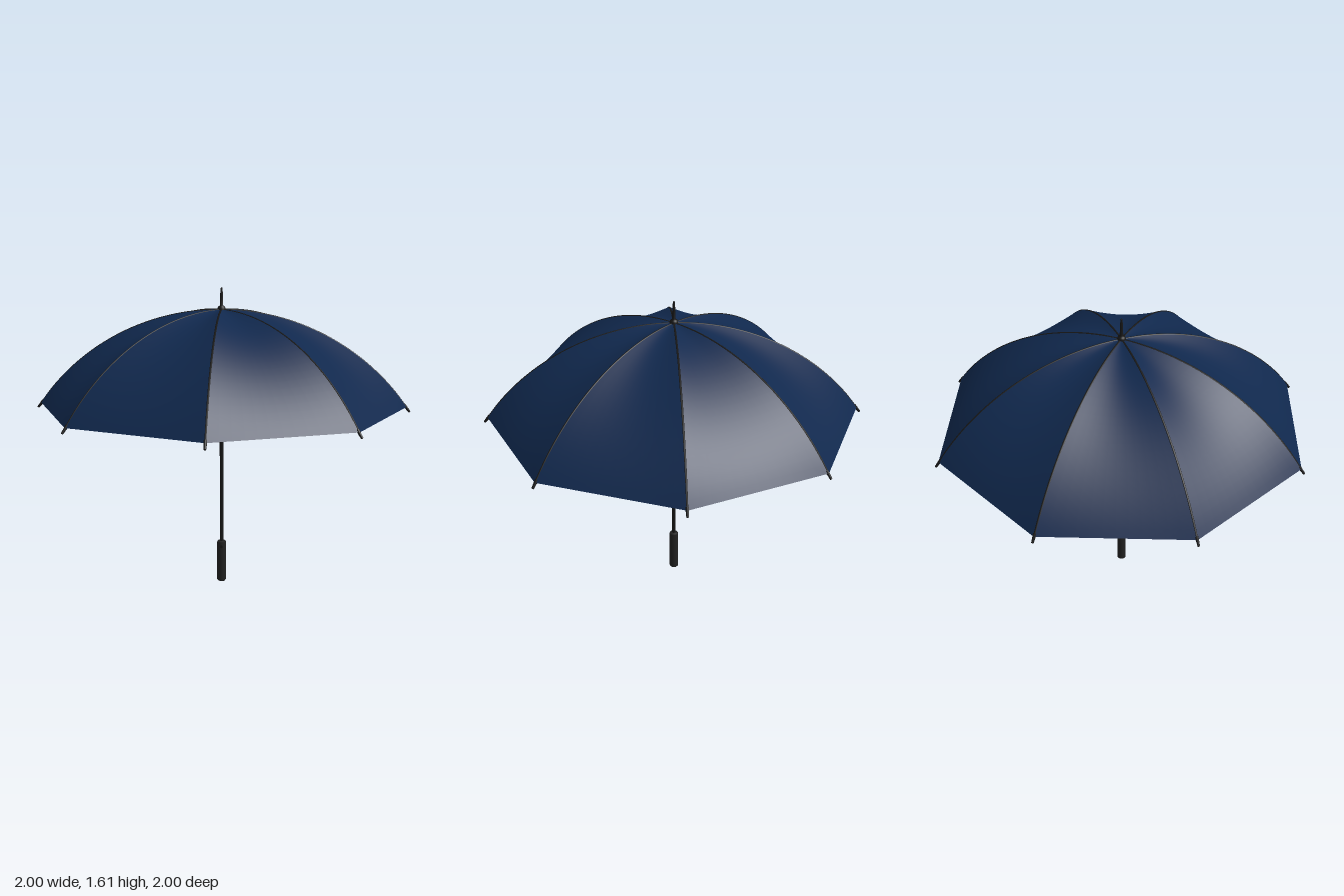
import * as THREE from 'three';

const PANELS = 8;
const RIM = 0.98, APEX_Y = 1.495, RIM_Y = 0.987;
// Circular arc of the dome running from apex to rim
const RISE = APEX_Y - RIM_Y;
const ARC_R = (RIM * RIM + RISE * RISE) / (2 * RISE);
const ARC_END = Math.asin(RIM / ARC_R);

function domePoint(u, drop = 0) {
  const a = u * ARC_END, R = ARC_R - drop;
  return new THREE.Vector2(R * Math.sin(a), APEX_Y - ARC_R + R * Math.cos(a));
}

// One cloth panel: straight hem, slight sag between its two ribs
function panelGeometry(start) {
  const NU = 24, NT = 12, pos = [], index = [];
  const end = start + (Math.PI * 2) / PANELS;
  for (let i = 0; i <= NU; i++) {
    const u = i / NU, p = domePoint(u);
    for (let j = 0; j <= NT; j++) {
      const t = j / NT;
      const sag = 0.028 * 4 * u * (1 - u) * Math.sin(Math.PI * t);
      pos.push(
        p.x * THREE.MathUtils.lerp(Math.cos(start), Math.cos(end), t),
        p.y - sag,
        p.x * THREE.MathUtils.lerp(Math.sin(start), Math.sin(end), t)
      );
      if (i < NU && j < NT) {
        const a = i * (NT + 1) + j, b = a + 1, c = a + NT + 1, d = c + 1;
        if (i > 0) index.push(a, b, c);
        index.push(b, d, c);
      }
    }
  }
  const g = new THREE.BufferGeometry();
  g.setAttribute('position', new THREE.Float32BufferAttribute(pos, 3));
  g.setIndex(index);
  g.computeVertexNormals();
  return g;
}

// Tapered round bar between two points
function bar(from, to, r0, r1, material, name) {
  const dir = to.clone().sub(from);
  const mesh = new THREE.Mesh(new THREE.CylinderGeometry(r1, r0, dir.length(), 10), material);
  mesh.position.copy(from).addScaledVector(dir, 0.5);
  mesh.quaternion.setFromUnitVectors(new THREE.Vector3(0, 1, 0), dir.normalize());
  mesh.name = name;
  return mesh;
}

function lathe(points, material, name) {
  const mesh = new THREE.Mesh(
    new THREE.LatheGeometry(points.map(([x, y]) => new THREE.Vector2(x, y)), 24), material);
  mesh.name = name;
  return mesh;
}

export function createModel() {
  const cloth = new THREE.MeshStandardMaterial({ color: 0x10284d, side: THREE.DoubleSide });
  cloth.name = 'navy cloth';
  const metal = new THREE.MeshStandardMaterial({ color: 0x161616 });
  metal.name = 'black metal';
  const grip = new THREE.MeshStandardMaterial({ color: 0x212121 });
  grip.name = 'dark grip';

  const model = new THREE.Group();
  model.name = 'umbrella';
  const canopy = new THREE.Group();
  canopy.name = 'canopy';
  const frame = new THREE.Group();
  frame.name = 'frame';
  model.add(canopy, frame);

  // Rib curve just under the cloth, showing as a fine seam on top
  const ribPoints = [];
  for (let i = 0; i <= 10; i++) {
    const p = domePoint(i / 10, 0.0045);
    ribPoints.push(new THREE.Vector3(p.x, p.y, 0));
  }
  const ribGeometry = new THREE.TubeGeometry(new THREE.CatmullRomCurve3(ribPoints), 32, 0.006, 8);
  const joint = domePoint(0.42, 0.01);

  for (let k = 0; k < PANELS; k++) {
    const angle = (k * Math.PI * 2) / PANELS;
    const panel = new THREE.Mesh(panelGeometry(angle), cloth);
    panel.name = 'panel';
    canopy.add(panel);

    // Rib, tip and stretcher arm
    const spoke = new THREE.Group();
    spoke.name = 'spoke';
    spoke.rotation.y = -angle;
    const rib = new THREE.Mesh(ribGeometry, metal);
    rib.name = 'rib';
    spoke.add(rib);
    spoke.add(bar(new THREE.Vector3(0.966, 0.997, 0), new THREE.Vector3(0.996, 0.961, 0),
      0.009, 0.006, metal, 'ribTip'));
    spoke.add(bar(new THREE.Vector3(0.015, 1.19, 0), new THREE.Vector3(joint.x, joint.y, 0),
      0.005, 0.005, metal, 'stretcher'));
    frame.add(spoke);
  }

  // Central shaft, sliding runner and top hub
  frame.add(bar(new THREE.Vector3(0, 0.2, 0), new THREE.Vector3(0, 1.5, 0), 0.01, 0.01, metal, 'shaft'));
  frame.add(lathe([[0.01, 1.13], [0.017, 1.13], [0.017, 1.175], [0.024, 1.175],
    [0.024, 1.2], [0.01, 1.2]], metal, 'runner'));
  frame.add(lathe([[0.01, 1.44], [0.022, 1.44], [0.022, 1.475], [0.01, 1.48]], metal, 'hub'));

  // Cap and spike above the canopy
  frame.add(lathe([[0.022, 1.488], [0.022, 1.498], [0.018, 1.508], [0.009, 1.514],
    [0.008, 1.56], [0.005, 1.605], [0, 1.61]], metal, 'finial'));

  // Straight handle with softened ends and a release button
  model.add(lathe([[0, 0], [0.019, 0], [0.024, 0.006], [0.024, 0.222], [0.021, 0.228],
    [0, 0.23]], grip, 'handle'));
  const button = new THREE.Mesh(new THREE.CylinderGeometry(0.008, 0.008, 0.008, 16), metal);
  button.rotation.x = Math.PI / 2;
  button.position.set(0, 0.2, 0.023);
  button.name = 'releaseButton';
  model.add(button);

  return model;
}
